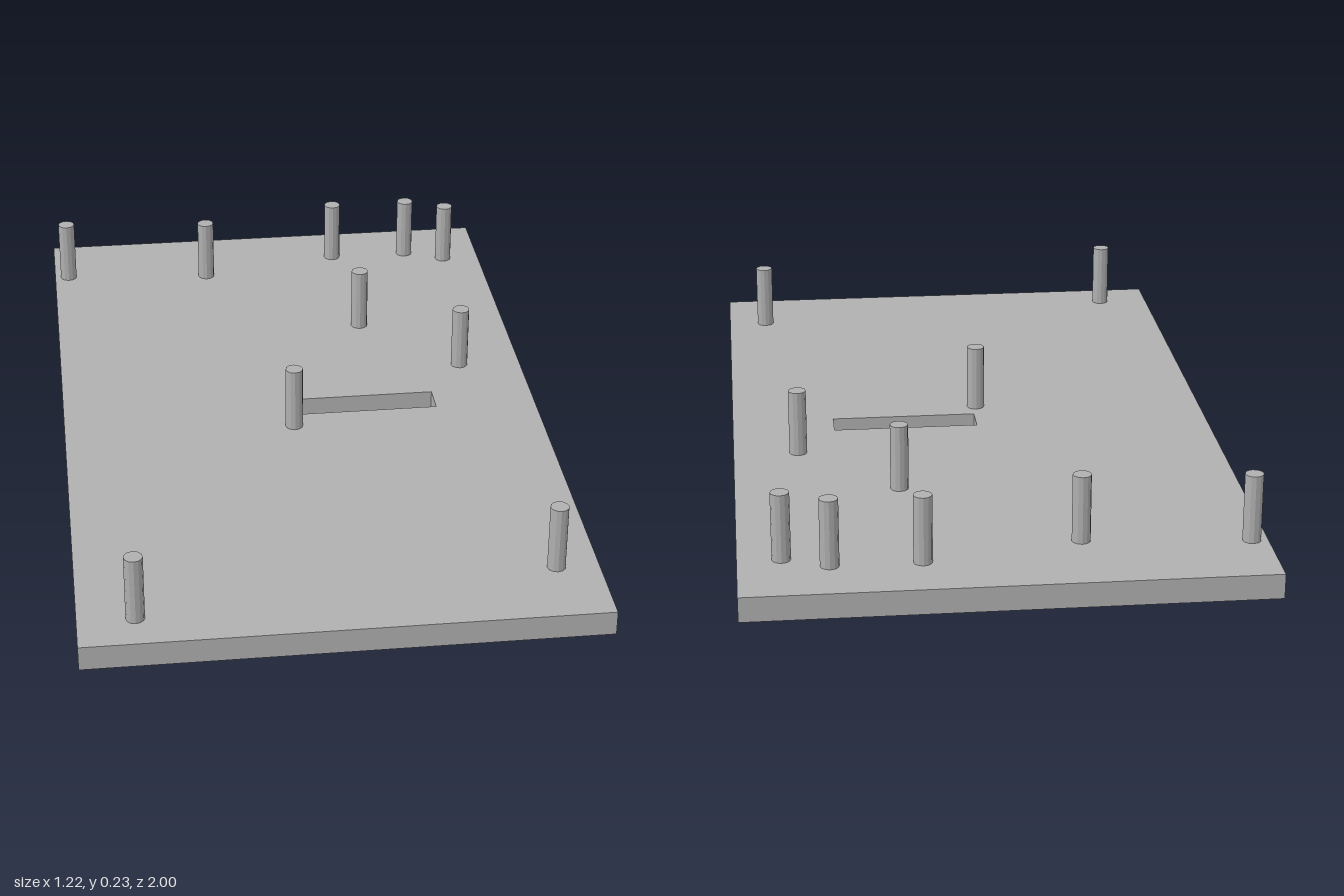
import * as THREE from 'three';

const W = 1.216, L = 2, T = 0.06, TOP = 0.225;
const SLOT = { x0: -0.015, x1: 0.35, z0: -0.04, z1: 0.037, floor: 0.01 };

// Pin centres as [x, z]
const PINS = [
  [-0.57, -0.81], [-0.18, -0.775], [0.19, -0.855], [0.4, -0.855], [0.507, -0.81],
  [0.212, -0.43], [0.447, -0.18], [-0.025, 0.092], [0.507, 0.803], [-0.475, 0.9],
];

const rect = (path, x0, z0, x1, z1) =>
  path.moveTo(x0, z0).lineTo(x1, z0).lineTo(x1, z1).lineTo(x0, z1).closePath();

export function createModel() {
  const model = new THREE.Group();
  const grey = new THREE.MeshStandardMaterial({ color: 0xb0b0b0, flatShading: true });
  grey.name = 'grey';

  const add = (name, geometry, x = 0, y = 0, z = 0) => {
    const mesh = new THREE.Mesh(geometry, grey);
    mesh.name = name;
    mesh.position.set(x, y, z);
    model.add(mesh);
  };

  // Base plate with a rectangular slot
  const outline = new THREE.Shape();
  rect(outline, -W / 2, -L / 2, W / 2, L / 2);
  const hole = new THREE.Path();
  rect(hole, SLOT.x0, SLOT.z0, SLOT.x1, SLOT.z1);
  outline.holes.push(hole);
  const plate = new THREE.ExtrudeGeometry(outline, { depth: T, bevelEnabled: false });
  plate.rotateX(Math.PI / 2);
  add('basePlate', plate, 0, T, 0);

  // Thin floor closing the slot underneath
  add('slotFloor',
    new THREE.BoxGeometry(SLOT.x1 - SLOT.x0, SLOT.floor, SLOT.z1 - SLOT.z0),
    (SLOT.x0 + SLOT.x1) / 2, SLOT.floor / 2, (SLOT.z0 + SLOT.z1) / 2);

  // Upright pins standing on the plate
  const pin = new THREE.CylinderGeometry(0.022, 0.022, TOP - T, 12);
  PINS.forEach(([x, z], i) => add(`pin${i + 1}`, pin, x, (TOP + T) / 2, z));

  return model;
}
